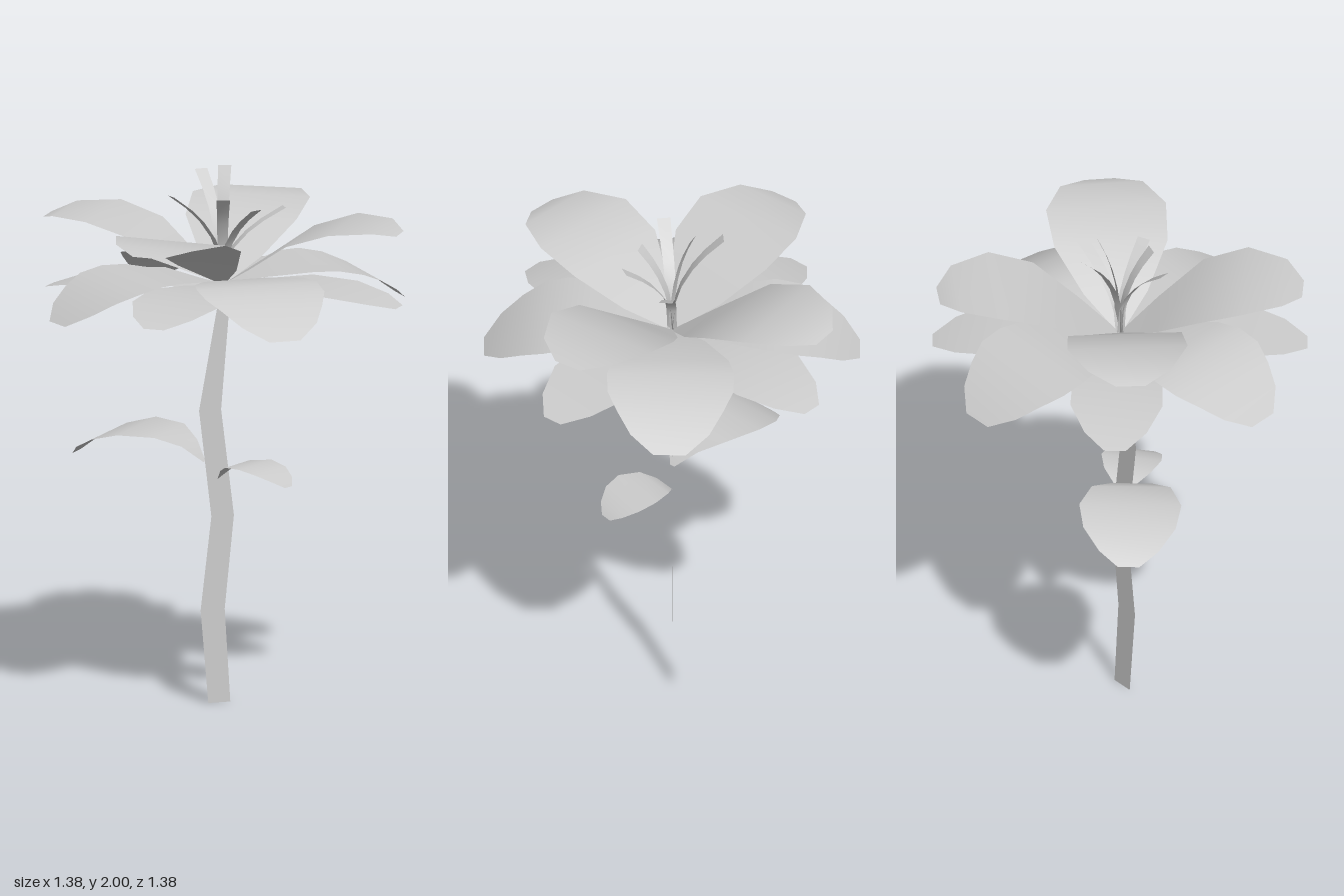
import * as THREE from 'three';

const material = new THREE.MeshStandardMaterial({ color: 0xcccccc, side: THREE.DoubleSide });
const deg = Math.PI / 180;

// Thin bent sheet from cross-sections [distance, height, halfWidth]
function sheet(rows) {
  const pos = [], idx = [];
  rows.forEach(([u, y, w], i) => {
    pos.push(u, y, -w, u, y, w);
    if (i) {
      const a = 2 * i - 2;
      idx.push(a, a + 1, a + 2, a + 1, a + 3, a + 2);
    }
  });
  const g = new THREE.BufferGeometry();
  g.setAttribute('position', new THREE.Float32BufferAttribute(pos, 3));
  g.setIndex(idx);
  g.computeVertexNormals();
  return g;
}

export function createModel() {
  const model = new THREE.Group();

  // Adds a sheet pointing along an angle (degrees, from +x towards -z)
  function add(name, geometry, angle, x = 0, y = 0, scale = 1) {
    const mesh = new THREE.Mesh(geometry, material);
    mesh.name = name;
    mesh.rotation.y = angle * deg;
    mesh.position.set(x, y, 0);
    mesh.scale.setScalar(scale);
    model.add(mesh);
  }

  // Stem: flat crooked ribbon facing the front
  const stemRows = [[0, -0.012, 0.043], [0.35, -0.038, 0.047], [0.7, 0.001, 0.044],
    [1.1, -0.048, 0.043], [1.48, 0.003, 0.024], [1.56, 0.005, 0.02]];
  const stemShape = new THREE.Shape([
    ...stemRows.map(([y, x, w]) => new THREE.Vector2(x + w, y)),
    ...stemRows.slice().reverse().map(([y, x, w]) => new THREE.Vector2(x - w, y)),
  ]);
  add('stem', new THREE.ShapeGeometry(stemShape), 0);

  // Upper ring: petals that rise and flatten at the tip
  const upper = sheet([[0.01, 1.575, 0.015], [0.134, 1.655, 0.118], [0.295, 1.765, 0.21],
    [0.46, 1.818, 0.222], [0.608, 1.818, 0.153], [0.675, 1.793, 0.055]]);
  [57, 143, 226, -34].forEach((a) => add('upperPetal', upper, a));

  // Middle ring: petals arching over and drooping
  const arched = sheet([[0.01, 1.575, 0.015], [0.134, 1.612, 0.122], [0.295, 1.637, 0.212],
    [0.38, 1.636, 0.234], [0.47, 1.617, 0.232], [0.55, 1.583, 0.195],
    [0.63, 1.535, 0.145], [0.692, 1.487, 0.06]]);
  [0, 90, 189, 270].forEach((a) => add('archedPetal', arched, a));

  // Lower ring: narrower, flatter petals on the diagonals [angle, lift]
  const lower = sheet([[0.01, 1.565, 0.015], [0.134, 1.583, 0.095], [0.295, 1.595, 0.165],
    [0.47, 1.582, 0.17], [0.607, 1.555, 0.115], [0.69, 1.53, 0.04]]);
  [[49, 0], [138, -0.015], [229, 0], [-39, 0]].forEach(([a, lift]) =>
    add('lowerPetal', lower, a, 0, lift));

  // Stamens: narrow ribbons curving out of the centre [angle, reach, top]
  const stamens = [[-5, 0.235, 1.85], [-68, 0.19, 1.875], [189, 0.215, 1.92],
    [95, 0.19, 1.97], [65, 0.085, 2.0], [252, 0.125, 1.91]];
  for (const [angle, reach, top] of stamens) {
    const rows = [0, 0.06, 0.18, 0.4, 0.65, 1].map((f) =>
      [reach * f, 1.57 + (top - 1.57) * f ** 0.4, 0.018 + 0.007 * f]);
    add('stamen', sheet(rows), angle);
  }

  // Leaves: one large, one small, on opposite sides of the stem
  const leaf = sheet([[0, 0, 0.01], [0.06, 0.065, 0.075], [0.14, 0.105, 0.145], [0.27, 0.113, 0.188],
    [0.38, 0.085, 0.17], [0.465, 0.04, 0.11], [0.51, 0, 0.04]]);
  add('largeLeaf', leaf, 138, -0.07, 0.908);
  add('smallLeaf', leaf, -52, -0.015, 0.842, 0.6);

  return model;
}
